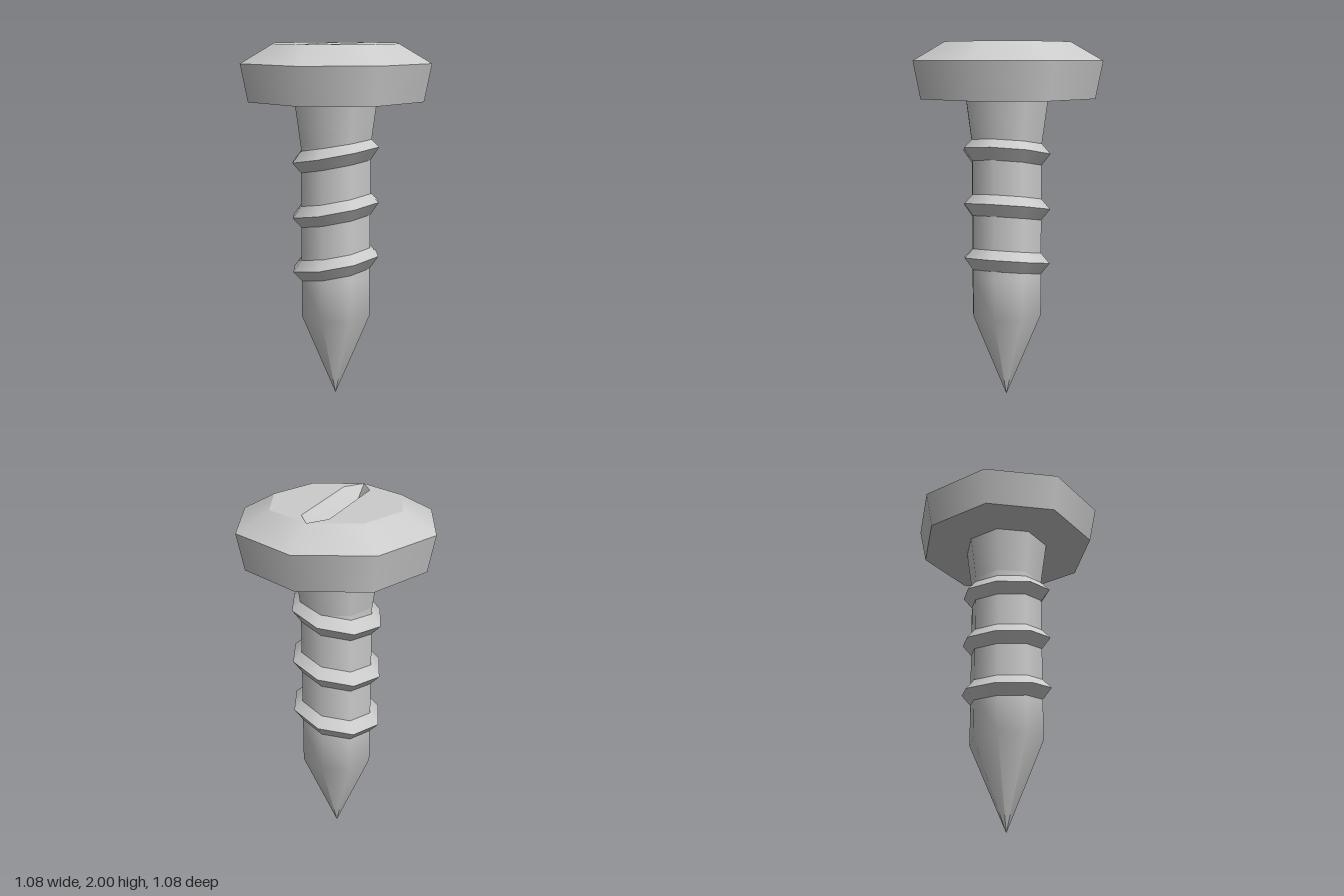
import * as THREE from 'three';

const SIDES = 8;
const grey = new THREE.MeshStandardMaterial({ color: 0xcccccc });

function mesh(name, geometry) {
  const m = new THREE.Mesh(geometry, grey);
  m.name = name;
  return m;
}

// Octagonal surface of revolution from [radius, height] pairs, bottom to top
function turned(...profile) {
  return new THREE.LatheGeometry(profile.map(([r, y]) => new THREE.Vector2(r, y)), SIDES);
}

// Half of the flat head top, leaving room for the slot
function topHalf() {
  const d = 0.36 * Math.SQRT1_2;
  const outline = [[0, -0.36], [d, -d], [0.36, 0], [d, d], [0, 0.36], [0.075, 0.26], [0.075, -0.26]];
  const shape = new THREE.Shape(outline.map(([x, y]) => new THREE.Vector2(x, y)));
  return new THREE.ShapeGeometry(shape).rotateX(-Math.PI / 2).translate(0, 2, 0);
}

// One sloping wall of the V-shaped slot, running out to a point at each end
function slotWall() {
  const g = new THREE.BufferGeometry();
  g.setAttribute('position', new THREE.Float32BufferAttribute([
    0.075, 2, -0.26, 0.075, 2, 0.26, 0, 1.92, 0.26,
    0, 1.92, -0.26, 0, 2, 0.36, 0, 2, -0.36,
  ], 3));
  g.setIndex([0, 2, 1, 0, 3, 2, 1, 2, 4, 0, 5, 3]);
  g.computeVertexNormals();
  return g;
}

export function createModel() {
  const model = new THREE.Group();
  model.name = 'screw';

  // Head
  const head = new THREE.Group();
  head.name = 'head';
  head.add(
    mesh('headUnderside', new THREE.CircleGeometry(0.5, SIDES).rotateX(Math.PI / 2).translate(0, 1.7, 0)),
    mesh('headRim', turned([0.5, 1.7], [0.54, 1.9])),
    mesh('headBevel', turned([0.54, 1.9], [0.36, 2])),
  );
  for (const angle of [0, Math.PI]) {
    head.add(
      mesh('headTop', topHalf().rotateY(angle)),
      mesh('slotWall', slotWall().rotateY(angle)),
    );
  }
  model.add(head);

  // Shaft: pointed tip, straight shank, flared neck
  model.add(
    mesh('tip', turned([0, 0], [0.205, 0.49], [0.205, 0.72])),
    mesh('shank', turned([0.205, 0.72], [0.205, 1.45])),
    mesh('neck', turned([0.205, 1.45], [0.24, 1.7])),
  );

  // Threads: sharp rings slanting up towards +x
  const slant = new THREE.Matrix4().makeShear(0.2, 0, 0, 0, 0, 0);
  for (const y of [0.79, 1.095, 1.4]) {
    const thread = new THREE.Group();
    thread.name = 'thread';
    thread.add(
      mesh('threadUnderside', turned([0.2, -0.07], [0.255, 0]).applyMatrix4(slant)),
      mesh('threadTop', turned([0.255, 0], [0.2, 0.06]).applyMatrix4(slant)),
    );
    thread.position.y = y;
    model.add(thread);
  }
  return model;
}
